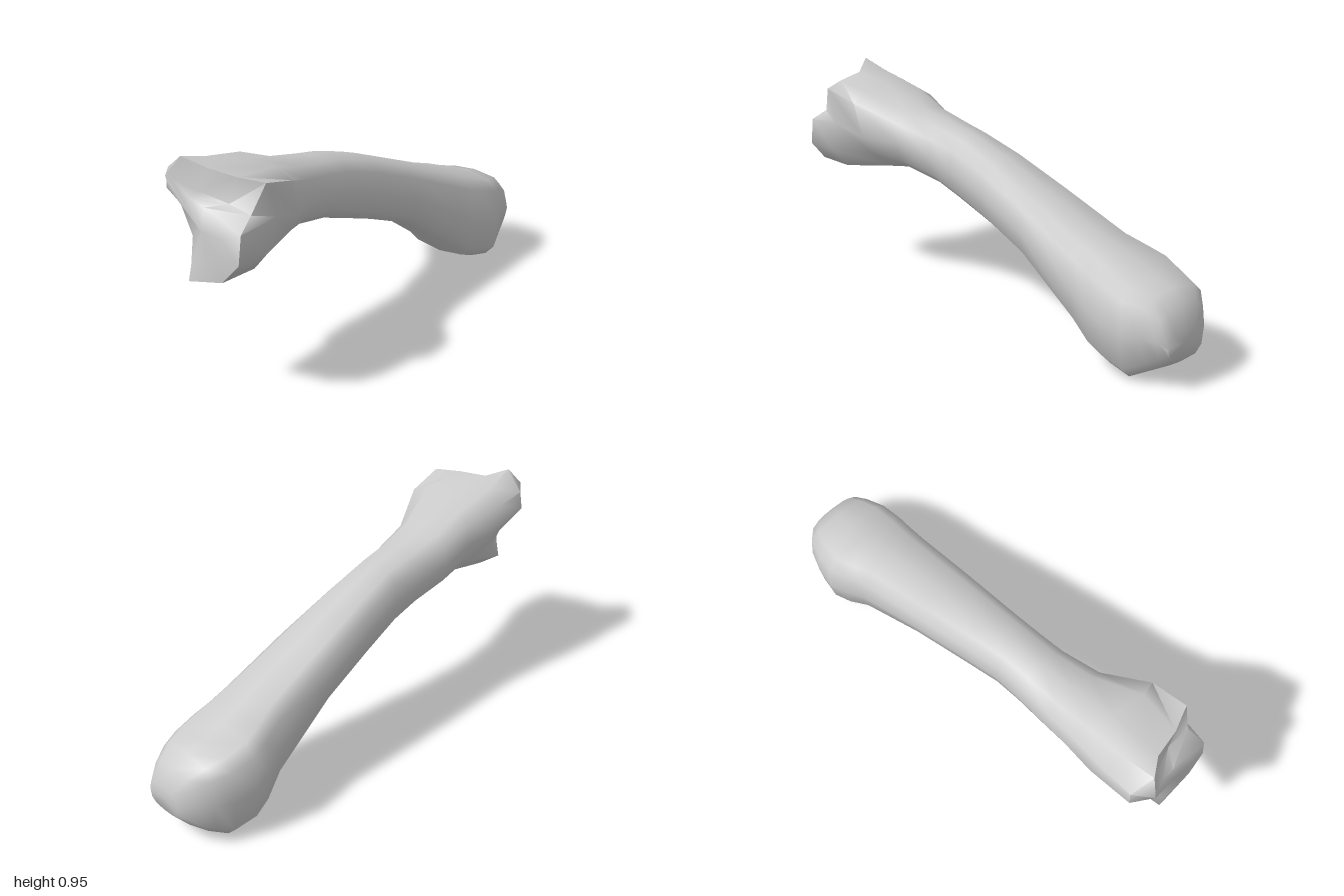
import * as THREE from 'three';
import { toCreasedNormals } from 'three/addons/utils/BufferGeometryUtils.js';

const SIDES = 12;

// Rounded-box cross-section at z; a higher power gives squarer corners
function section([z, x0, x1, y0, y1, power]) {
  const round = (v) => Math.sign(v) * Math.abs(v) ** (2 / power);
  return Array.from({ length: SIDES }, (_, i) => {
    const a = (i / SIDES) * Math.PI * 2;
    return [
      (x0 + x1) / 2 + ((x1 - x0) / 2) * round(Math.cos(a)),
      (y0 + y1) / 2 + ((y1 - y0) / 2) * round(Math.sin(a)),
      z,
    ];
  });
}

// Skin the rings from back to front and close both ends with fans
function loft(rings, backCentre, frontCentre) {
  const points = [...rings.flat(), backCentre, frontCentre];
  const index = [];
  const back = points.length - 2, front = points.length - 1;
  const last = (rings.length - 1) * SIDES;
  for (let j = 0; j < SIDES; j++) {
    const k = (j + 1) % SIDES;
    for (let r = 0; r < last; r += SIDES) {
      const a = r + j, b = r + k, c = b + SIDES, d = a + SIDES;
      index.push(a, b, c, a, c, d);
    }
    index.push(k, j, back, last + j, last + k, front);
  }
  const geometry = new THREE.BufferGeometry();
  geometry.setAttribute('position', new THREE.Float32BufferAttribute(points.flat(), 3));
  geometry.setIndex(index);
  return toCreasedNormals(geometry, 1.15);
}

export function createModel() {
  // Blocky rear end and tapering shaft: z, x range, y range, squareness
  const shaft = [
    [-1.0, -0.16, 0.02, 0.13, 0.24, 3],
    [-0.96, -0.22, 0.04, 0.09, 0.325, 3.3],
    [-0.9, -0.27, 0.065, 0.05, 0.375, 3.8],
    [-0.82, -0.295, 0.1, 0.004, 0.395, 4],
    [-0.72, -0.31, 0.11, 0.025, 0.432, 3.8],
    [-0.64, -0.285, 0.11, 0.05, 0.462, 3.5],
    [-0.55, -0.25, 0.11, 0.125, 0.495, 3.2],
    [-0.25, -0.2, 0.115, 0.33, 0.612, 3],
    [0.0, -0.155, 0.12, 0.425, 0.71, 2.8],
    [0.18, -0.122, 0.13, 0.485, 0.768, 2.6],
    [0.3, -0.117, 0.145, 0.525, 0.79, 2.5],
    [0.47, -0.115, 0.19, 0.56, 0.825, 2.5],
  ].map(section);

  // Flare where the shaft meets the head, rising into the ledge
  const flare = [
    [0.265, 0.7, 0.61], [0.28, 0.845, 0.65], [0.21, 0.885, 0.67], [0.07, 0.885, 0.66],
    [-0.04, 0.872, 0.62], [-0.1, 0.83, 0.6], [-0.12, 0.75, 0.6], [-0.1, 0.67, 0.6],
    [-0.04, 0.595, 0.6], [0.05, 0.54, 0.6], [0.14, 0.55, 0.6], [0.22, 0.62, 0.6],
  ];
  // Widest ring, with the front lip of the ledge at upper right
  const shoulder = [
    [0.305, 0.74, 0.76], [0.305, 0.885, 0.81], [0.2, 0.895, 0.86], [0.08, 0.908, 0.89],
    [-0.02, 0.91, 0.82], [-0.1, 0.86, 0.8], [-0.12, 0.76, 0.74], [-0.08, 0.67, 0.72],
    [-0.01, 0.575, 0.74], [0.06, 0.487, 0.86], [0.22, 0.52, 0.8], [0.3, 0.61, 0.8],
  ];
  // Rim around the front, with a groove under the ledge
  const rim = [
    [0.305, 0.72, 0.94], [0.28, 0.768, 0.865], [0.17, 0.785, 0.87], [0.06, 0.82, 0.92],
    [0, 0.95, 0.95], [-0.095, 0.88, 0.93], [-0.1, 0.8, 0.94], [-0.05, 0.7, 0.86],
    [0, 0.6, 0.87], [0.06, 0.48, 0.985], [0.23, 0.52, 0.97], [0.305, 0.605, 0.955],
  ];
  const face = [
    [0.23, 0.69, 0.965], [0.2, 0.755, 0.945], [0.12, 0.78, 0.95], [0.05, 0.805, 0.96],
    [-0.01, 0.875, 0.99], [-0.03, 0.88, 1], [-0.025, 0.83, 0.99], [0.01, 0.77, 0.965],
    [0.07, 0.66, 0.965], [0.072, 0.55, 0.98], [0.17, 0.58, 0.98], [0.22, 0.62, 0.975],
  ];

  const bone = new THREE.Mesh(
    loft([...shaft, flare, shoulder, rim, face], [-0.07, 0.19, -1], [0.12, 0.69, 0.967]),
    new THREE.MeshStandardMaterial({ color: 0xcccccc }),
  );
  bone.name = 'limbBone';
  const model = new THREE.Group();
  model.name = 'bone';
  model.add(bone);
  return model;
}
